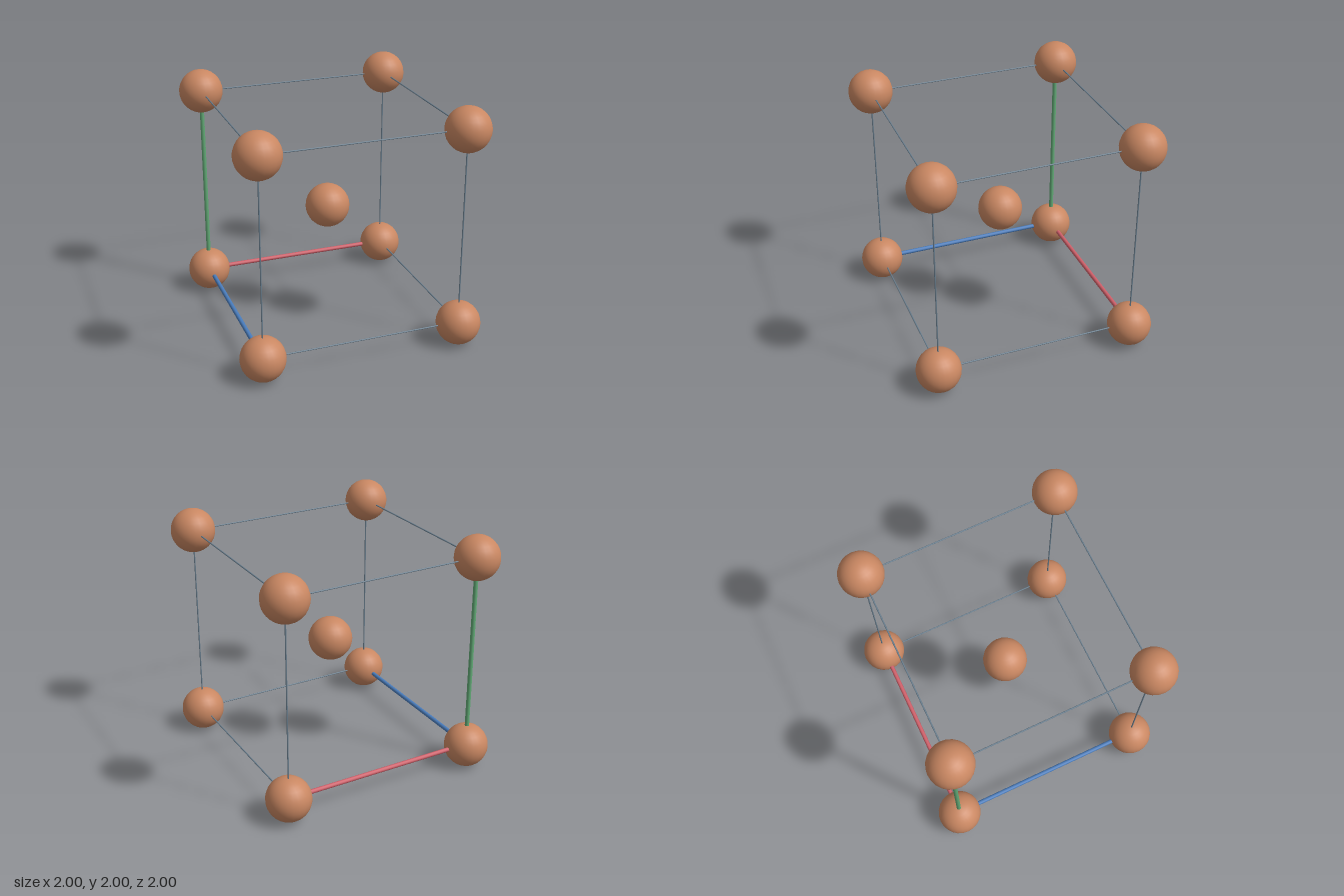
import * as THREE from 'three';

const C = 0.82; // half the cell edge
const R = 0.18; // atom radius

function material(name, color) {
  const m = new THREE.MeshStandardMaterial({ color });
  m.name = name;
  return m;
}

export function createModel() {
  const model = new THREE.Group();
  model.name = 'bodyCentredCubicCell';
  const copper = material('copper', 0xc98762);
  const slate = material('slate', 0x6c8191);
  const axisMaterials = {
    x: material('red', 0xd0606a),
    y: material('green', 0x62aa76),
    z: material('blue', 0x4a7dbd),
  };

  // Atoms at the eight corners and the body centre
  const atomGeometry = new THREE.SphereGeometry(R, 24, 16);
  const addAtom = (name, x, y, z) => {
    const atom = new THREE.Mesh(atomGeometry, copper);
    atom.name = name;
    atom.position.set(x, y + 1, z);
    model.add(atom);
  };
  addAtom('centreAtom', 0, 0, 0);
  for (const x of [-C, C])
    for (const y of [-C, C])
      for (const z of [-C, C]) addAtom('cornerAtom', x, y, z);

  // Twelve edges; the three meeting at the origin corner are thick coloured axes
  const edgeGeometry = new THREE.CylinderGeometry(0.006, 0.006, 2 * C, 8);
  const axisGeometry = new THREE.CylinderGeometry(0.018, 0.018, 2 * C, 12);
  for (const axis of ['x', 'y', 'z']) {
    const [u, v] = ['x', 'y', 'z'].filter((a) => a !== axis);
    for (const su of [-1, 1])
      for (const sv of [-1, 1]) {
        // Origin corner: -x, -y, -z
        const isAxis = su < 0 && sv < 0;
        const rod = new THREE.Mesh(
          isAxis ? axisGeometry : edgeGeometry,
          isAxis ? axisMaterials[axis] : slate
        );
        rod.name = isAxis ? axis + 'AxisRod' : 'cellEdge';
        if (axis === 'x') rod.rotation.z = -Math.PI / 2;
        if (axis === 'z') rod.rotation.x = Math.PI / 2;
        rod.position[u] = su * C;
        rod.position[v] = sv * C;
        rod.position.y += 1;
        model.add(rod);
      }
  }
  return model;
}
